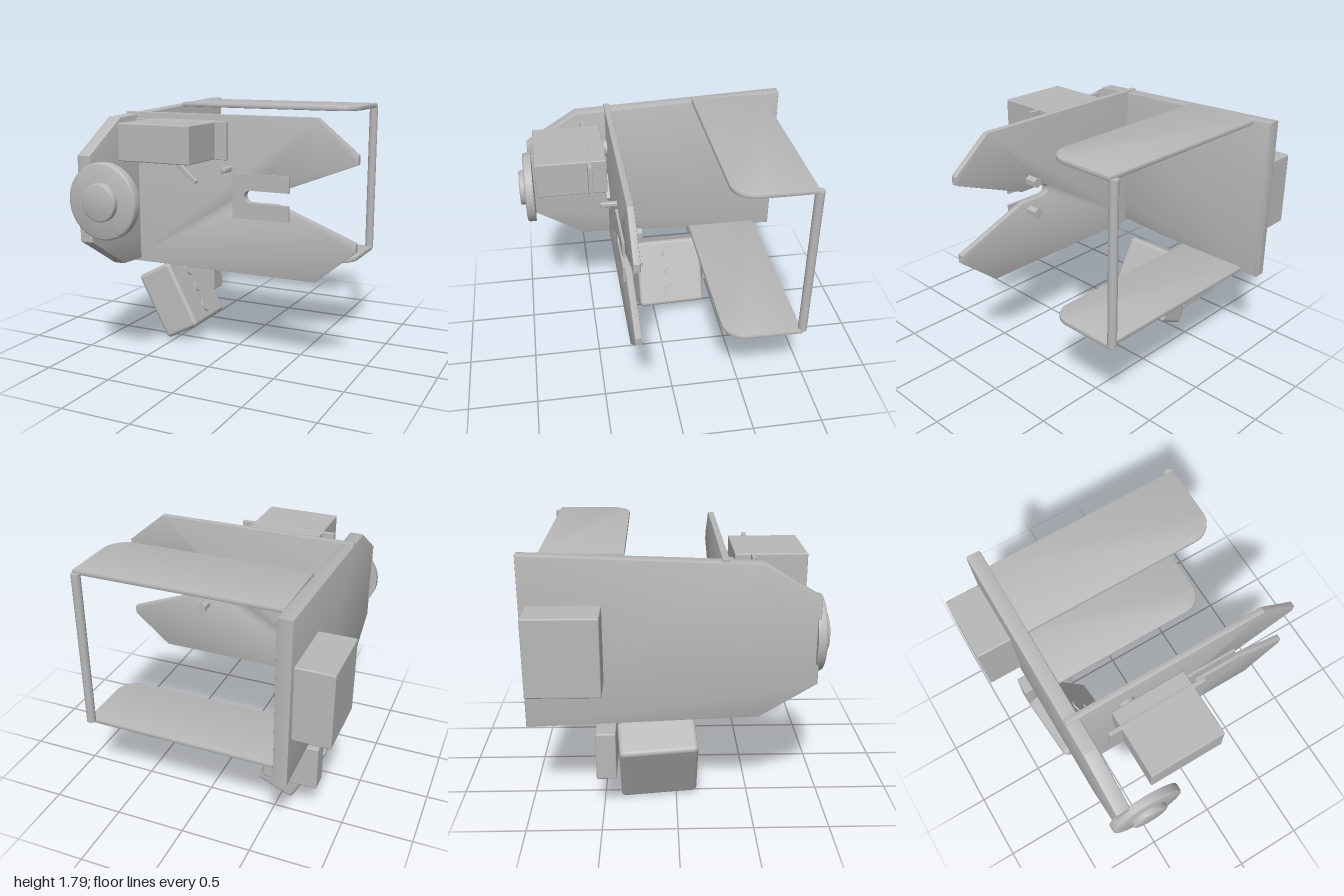
import * as THREE from 'three';
import { toCreasedNormals } from 'three/addons/utils/BufferGeometryUtils.js';
import { RoundedBoxGeometry } from 'three/addons/geometries/RoundedBoxGeometry.js';

export function createModel() {
  const model = new THREE.Group();
  model.name = 'bracketAssembly';
  const grey = new THREE.MeshStandardMaterial({ color: 0xb8b8b8 });
  grey.name = 'plain grey';

  const add = (name, geometry, parent = model) => {
    const mesh = new THREE.Mesh(geometry, grey);
    mesh.name = name;
    parent.add(mesh);
    return mesh;
  };
  // Box given by its limits on each axis
  const box = (name, [x0, x1], [y0, y1], [z0, z1], r = 0.008) => {
    const mesh = add(name, new RoundedBoxGeometry(x1 - x0, y1 - y0, z1 - z0, 2, r));
    mesh.position.set((x0 + x1) / 2, (y0 + y1) / 2, (z0 + z1) / 2);
    return mesh;
  };
  // Plate of full thickness t with softened edges that stay inside the outline
  const plate = (shape, t, b) => toCreasedNormals(new THREE.ExtrudeGeometry(shape, {
    depth: t - 2 * b, bevelEnabled: b > 0, bevelThickness: b, bevelSize: b,
    bevelOffset: -b, bevelSegments: 2, curveSegments: 20,
  }).translate(0, 0, b), 0.6);
  const outline = (pts) => new THREE.Shape(pts.map(([x, y]) => new THREE.Vector2(x, y)));
  // Round part with its axis along z and a softened front rim
  const disc = (name, r, x, y, z0, z1, b = 0.01) => {
    const pts = [[0, z0], [r, z0], [r, z1 - b], [r - b * 0.3, z1 - b * 0.3], [r - b, z1], [0, z1]];
    const g = new THREE.LatheGeometry(pts.map(([a, c]) => new THREE.Vector2(a, c)), 48);
    const mesh = add(name, toCreasedNormals(g.rotateX(Math.PI / 2), 0.9));
    mesh.position.set(x, y, 0);
    return mesh;
  };

  // Tapered side plate, drawn in z and y
  const side = outline([[-0.995, 0.643], [0.54, 0.704], [0.915, 0.935], [0.915, 1.515],
    [0.54, 1.746], [-0.995, 1.807]]);
  add('sidePlate', plate(side, 0.1, 0.01).rotateY(-Math.PI / 2)).position.x = -0.645;

  // Forked front plate with a narrow slot at the root of the notch
  const mid = 1.222;
  const front = new THREE.Shape();
  front.moveTo(-0.74, 0.675);
  front.lineTo(0.715, 0.675);
  front.lineTo(0.995, 0.905);
  front.lineTo(0.995, 0.965);
  front.lineTo(0.44, mid - 0.043);
  front.lineTo(0.245, mid - 0.043);
  front.absarc(0.245, mid, 0.043, -Math.PI / 2, Math.PI / 2, true);
  front.lineTo(0.44, mid + 0.043);
  front.lineTo(0.995, 1.479);
  front.lineTo(0.995, 1.539);
  front.lineTo(0.715, 1.769);
  front.lineTo(-0.74, 1.769);
  add('forkPlate', plate(front, 0.045, 0.006)).position.z = 0.28;

  // Thin slotted cover over the notch
  const cover = new THREE.Shape();
  cover.moveTo(0.115, 1.068);
  cover.lineTo(0.53, 1.068);
  cover.lineTo(0.53, mid - 0.043);
  cover.lineTo(0.245, mid - 0.043);
  cover.absarc(0.245, mid, 0.043, -Math.PI / 2, Math.PI / 2, true);
  cover.lineTo(0.53, mid + 0.043);
  cover.lineTo(0.53, 1.378);
  cover.lineTo(0.115, 1.378);
  add('slotCover', plate(cover, 0.018, 0)).position.z = 0.324;

  // Upper and lower shelves with one rounded corner, drawn in x and z
  const shelf = new THREE.Shape();
  shelf.moveTo(-0.65, -0.865);
  shelf.lineTo(0.762, -0.865);
  shelf.lineTo(0.762, -0.485);
  shelf.absarc(0.602, -0.485, 0.16, 0, Math.PI / 2, false);
  shelf.lineTo(-0.65, -0.325);
  for (const [name, top] of [['upperShelf', 1.805], ['lowerShelf', 0.68]]) {
    add(name, plate(shelf, 0.035, 0.01).rotateX(Math.PI / 2)).position.y = top;
  }
  const rod = add('shelfRod', new THREE.CylinderGeometry(0.031, 0.031, 1.12, 20));
  rod.position.set(0.735, 1.225, -0.87);

  // Wheel and hub on the front end
  disc('wheel', 0.258, -0.537, 1.225, 0.893, 0.955, 0.015);
  disc('wheelHub', 0.128, -0.537, 1.225, 0.95, 0.995);

  // Front housing with its mounting flange and rear knob
  box('frontHousing', [-0.458, 0.068], [1.488, 1.735], [0.382, 0.86]);
  box('housingFlange', [-0.545, 0.155], [1.486, 1.737], [0.485, 0.513], 0.004);
  disc('rearKnob', 0.058, -0.33, 1.62, 0.345, 0.39, 0.004);

  // Lever and small pin in front of the fork plate
  const lever = box('lever', [-0.32, -0.13], [1.346, 1.374], [0.348, 0.376], 0.004);
  lever.rotation.z = -0.7;
  disc('pin', 0.02, 0.087, 1.405, 0.32, 0.437, 0.003);

  // Hexagonal studs behind the fork plate
  for (const s of [-1, 1]) {
    const stud = add('hexStud', new THREE.CylinderGeometry(0.037, 0.037, 0.095, 6).toNonIndexed());
    stud.geometry.computeVertexNormals();
    stud.rotation.x = Math.PI / 2;
    stud.position.set(0.373, mid + s * 0.117, 0.24);
  }

  // Blocks on the outer side and underneath
  box('outerBlock', [-0.998, -0.742], [0.965, 1.485], [-0.952, -0.475], 0.01);
  box('lowerBlock', [-0.81, -0.42], [0.285, 0.62], [-0.54, -0.405], 0.01);

  // Tilted control box with three buttons
  const control = new THREE.Group();
  control.name = 'controlBox';
  control.position.set(-0.56, 0.315, -0.13);
  control.rotation.set(0, 0.078, 0.489, 'ZYX');
  model.add(control);
  add('controlCase', new RoundedBoxGeometry(0.285, 0.53, 0.53, 4, 0.03), control);
  for (const [y, r] of [[-0.158, 0.055], [0, 0.041], [0.158, 0.055]]) {
    const button = add('button', new THREE.CylinderGeometry(r, r, 0.03, 28), control);
    button.rotation.z = -Math.PI / 2;
    button.position.set(0.138, y, 0);
  }
  return model;
}
